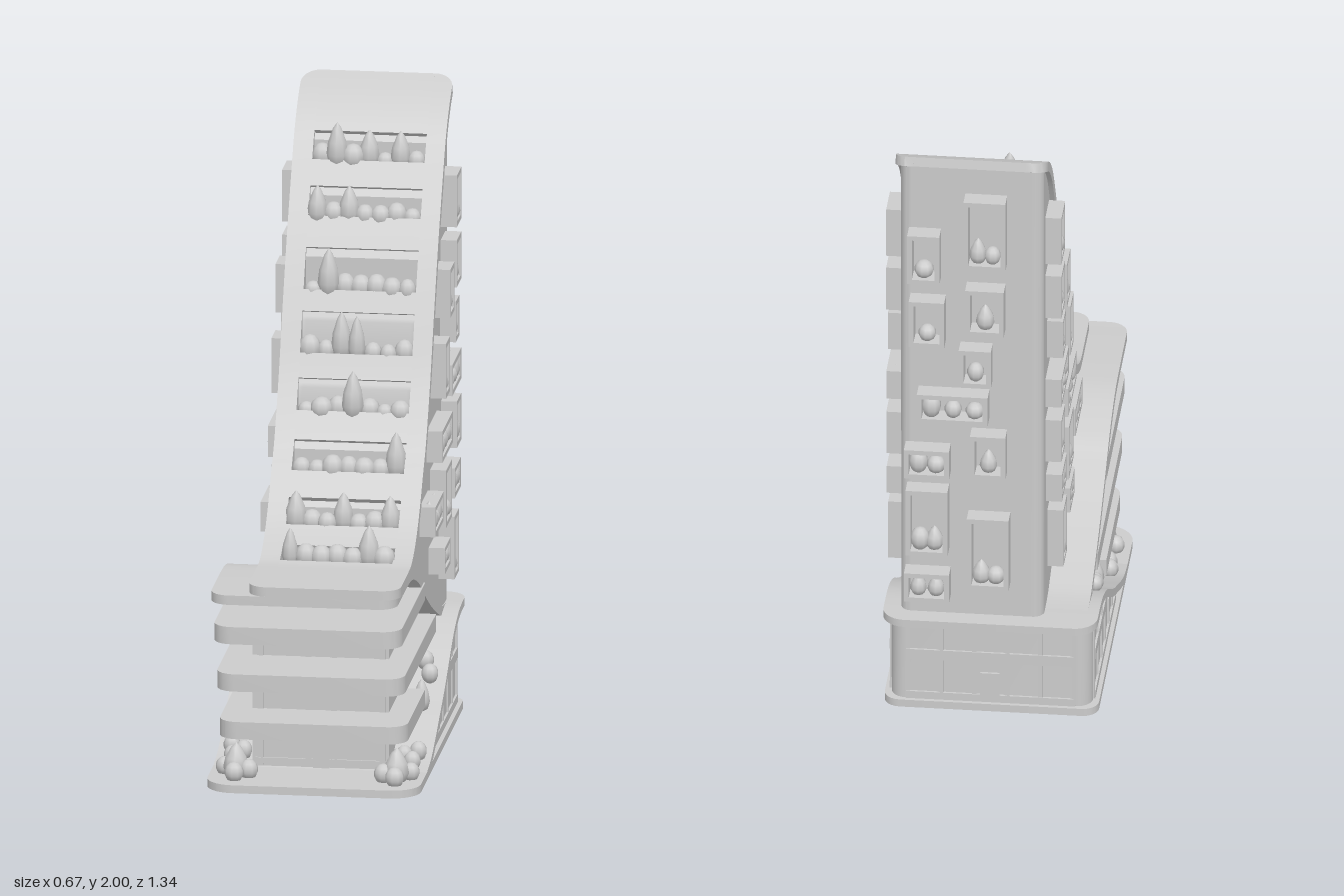
import * as THREE from 'three';
import { toCreasedNormals } from 'three/addons/utils/BufferGeometryUtils.js';

const grey = new THREE.MeshStandardMaterial({ color: 0xcccccc });
const CX = 0.055; // centre line of the tower
const HALF = 0.222; // half width of the tower

function add(parent, geo, name) {
  const m = new THREE.Mesh(geo, grey);
  m.name = name;
  parent.add(m);
  return m;
}
function box(parent, name, w, h, d, x, y, z) {
  add(parent, new THREE.BoxGeometry(w, h, d), name).position.set(x, y, z);
}

// Smooth height function y(z) through a few points, front to back
function profile(points) {
  const p = new THREE.SplineCurve(points.map(([z, y]) => new THREE.Vector2(z, y))).getPoints(200);
  return z => {
    if (z >= p[0].x) return p[0].y;
    for (let i = 1; i < p.length; i++) if (z >= p[i].x) {
      const k = (z - p[i].x) / (p[i - 1].x - p[i].x || 1);
      return p[i].y + k * (p[i - 1].y - p[i].y);
    }
    return p[p.length - 1].y;
  };
}
const slope = profile([[0.67, 0.7], [0.45, 0.7], [0.365, 0.706], [0.29, 0.735], [0.22, 0.782], [0.15, 0.85],
  [0.09, 0.92], [0.02, 1.0], [-0.08, 1.17], [-0.17, 1.36], [-0.26, 1.54], [-0.36, 1.71], [-0.46, 1.86], [-0.56, 1.95], [-0.66, 2.0]]);
const fallRamp = profile([[0.67, 0.67], [0.4, 0.67], [0.25, 0.657], [0.1, 0.605], [0, 0.55], [-0.2, 0.45], [-0.4, 0.37], [-0.5, 0.347], [-0.66, 0.345]]);
const riseRamp = profile([[0.3, 0.025], [0.2, 0.043], [0.1, 0.08], [0, 0.125], [-0.1, 0.17], [-0.2, 0.225], [-0.3, 0.282], [-0.4, 0.323], [-0.5, 0.343], [-0.66, 0.345]]);

// How far a plan corner of radius r cuts in, at distance d from the end
function inset(d, r) {
  const k = r - Math.max(0, d);
  return k > 0 ? r - Math.sqrt(r * r - k * k) : 0;
}

// Plate of even thickness following f(z); r rounds its plan corners: [x0 front, x1 front, x0 back, x1 back]
function strip(f, zA, zB, x0, x1, t, r = [0, 0, 0, 0]) {
  const zs = [], n = Math.max(2, Math.ceil((zA - zB) * 60)), R = Math.max(...r);
  for (let i = 0; i <= n; i++) zs.push(zA + (zB - zA) * i / n);
  if (R) for (let k = 1; k <= 7; k++) {
    const d = R * (1 - Math.cos(k / 7 * Math.PI / 2));
    zs.push(zA - d, zB + d);
  }
  zs.sort((a, b) => b - a);
  const pos = [], idx = [];
  zs.forEach((z, i) => {
    const e = 0.004, s = (f(z + e) - f(z - e)) / (2 * e), l = Math.hypot(1, s);
    const a = x0 + Math.max(inset(zA - z, r[0]), inset(z - zB, r[2]));
    const b = x1 - Math.max(inset(zA - z, r[1]), inset(z - zB, r[3]));
    const y = f(z), yb = y - t / l, zb = z + t * s / l;
    pos.push(a, y, z, b, y, z, b, yb, zb, a, yb, zb);
    if (i) for (let j = 0; j < 4; j++) {
      const p = (i - 1) * 4, q = i * 4, k = (j + 1) % 4;
      idx.push(p + j, p + k, q + k, p + j, q + k, q + j);
    }
  });
  const e = (zs.length - 1) * 4;
  idx.push(0, 3, 2, 0, 2, 1, e, e + 1, e + 2, e, e + 2, e + 3);
  const g = new THREE.BufferGeometry();
  g.setAttribute('position', new THREE.Float32BufferAttribute(pos, 3));
  g.setIndex(idx);
  return toCreasedNormals(g, 0.5);
}

// Side outline in (z, y) extruded across x, with rounded vertical back corners
function solid(pts, x0, x1, zBack, r0, r1) {
  const g = new THREE.ExtrudeGeometry(new THREE.Shape(pts.map(p => new THREE.Vector2(p[0], p[1]))), { depth: 1, steps: 13, bevelEnabled: false });
  g.rotateY(-Math.PI / 2);
  const p = g.attributes.position;
  for (let i = 0; i < p.count; i++) {
    const step = Math.round((p.getX(i) + 1) * 13), first = step < 7;
    const k = first ? step : 13 - step, r = first ? r0 : r1, a = k / 6 * Math.PI / 2;
    const d = r ? r * (1 - Math.cos(a)) : k * (x1 - x0) / 26;
    p.setX(i, first ? x0 + d : x1 - d);
    if (p.getZ(i) < zBack + 0.001) p.setZ(i, zBack + r * (1 - Math.sin(a)));
  }
  return toCreasedNormals(g, 0.5);
}
function along(f, a, b, dy, n = 24) {
  return Array.from({ length: n + 1 }, (_, i) => [a + (b - a) * i / n, f(a + (b - a) * i / n) + dy]);
}

let seed = 7;
const rnd = () => (seed = (seed * 16807) % 2147483647) / 2147483647;
const ball = new THREE.SphereGeometry(1, 9, 7);
const tall = new THREE.LatheGeometry([[0, -1], [0.7, -0.75], [1, -0.3], [0.85, 0.2], [0.4, 0.75], [0, 1]].map(p => new THREE.Vector2(...p)), 9);
function plant(parent, x, y, z, r, h) {
  const m = add(parent, h > 1.4 * r ? tall : ball, 'plant');
  m.scale.set(r, h, r);
  m.position.set(x, y + h * 0.85, z);
}

// Projecting window box with an open front and plants on its sill, facing +z
function windowBox(w, h, d) {
  const g = new THREE.Group(), b = 0.015;
  g.name = 'windowBox';
  const rect = (C, x, y) => new C([[-x, -y], [x, -y], [x, y], [-x, y]].map(p => new THREE.Vector2(...p)));
  const s = rect(THREE.Shape, w / 2, h / 2);
  s.holes.push(rect(THREE.Path, w / 2 - b, h / 2 - b));
  add(g, new THREE.ExtrudeGeometry(s, { depth: d, bevelEnabled: false }), 'windowFrame');
  const n = w > 0.18 ? 3 : w > 0.12 ? 2 : 1;
  for (let i = 0; i < n; i++)
    plant(g, (n === 1 ? 0 : (i / (n - 1) - 0.5) * (w - 0.085)), -h / 2 + b, d * 0.5, 0.026 + rnd() * 0.005, 0.028 + rnd() * 0.02);
  return g;
}

export function createModel() {
  const model = new THREE.Group();

  // Base plate, ramps and floor slabs
  add(model, strip(() => 0.025, 0.53, -0.6, -0.335, 0.33, 0.025, [0.09, 0.09, 0.05, 0.05]), 'basePlate');
  add(model, strip(riseRamp, 0.3, -0.66, -0.335, 0.33, 0.025, [0, 0, 0.07, 0.07]), 'risingRamp');
  add(model, strip(fallRamp, 0.67, -0.6, -0.3, 0.28, 0.03, [0.06, 0.06, 0, 0]), 'fallingRamp');
  [[0.21, 0.465, 0], [0.38, 0.53, -0.26], [0.55, 0.6, 0]].forEach(([y, a, b]) =>
    add(model, strip(() => y, a, b, -0.3, 0.285, 0.055, [0.06, 0.06, 0, 0]), 'floorSlab'));

  // Core behind the slabs, with rails, mullions and a door
  add(model, solid([[0.29, 0.02], ...along(fallRamp, 0.29, -0.38, -0.02), ...along(riseRamp, -0.38, 0.29, -0.015)], -0.215, 0.21, -9, 0, 0), 'core');
  for (const y of [0.045, 0.135, 0.28, 0.45, 0.62]) box(model, 'coreRail', 0.41, 0.018, 0.012, 0, y, 0.29);
  for (const x of [-0.19, -0.04, 0.04, 0.19]) box(model, 'coreMullion', 0.018, 0.6, 0.01, x, 0.33, 0.29);
  box(model, 'frontDoor', 0.05, 0.09, 0.016, 0, 0.07, 0.288);

  // Podium under the rising ramp, with window bands
  add(model, solid([[-0.585, 0.02], [0.18, 0.02], ...along(riseRamp, 0.18, -0.585, -0.015)], -0.315, 0.31, -0.585, 0.05, 0.05), 'podium');
  [[0.04, 0.025, 0.08], [0.185, 0.035, -0.2], [0.305, 0.03, -0.42]].forEach(([y, h, zf]) => {
    for (const x of [-0.315, 0.31]) box(model, 'podiumBand', 0.014, h, zf + 0.535, x, y, (zf - 0.535) / 2);
    box(model, 'podiumBand', 0.525, h, 0.014, -0.0025, y, -0.585);
  });
  for (let z = -0.53; z < 0; z += 0.105) {
    const top = riseRamp(z) - 0.035;
    for (const x of [-0.315, 0.31]) box(model, 'podiumMullion', 0.01, top - 0.03, 0.014, x, (top + 0.03) / 2, z);
  }
  for (let i = 0; i < 6; i++) box(model, 'podiumMullion', 0.014, 0.28, 0.01, -0.26 + i * 0.103, 0.17, -0.585);
  box(model, 'backDoor', 0.06, 0.1, 0.016, 0, 0.08, -0.585);

  // Tower: plain cheeks either side of a stepped middle
  const holes = [[0.365, 0.29], [0.22, 0.15], [0.09, 0.02], [-0.03, -0.08], [-0.115, -0.17], [-0.2, -0.26], [-0.31, -0.36], [-0.405, -0.46]];
  const under = along(fallRamp, -0.6, 0.42, -0.01);
  const cheek = [...under, ...along(slope, 0.42, -0.6, -0.03, 50)];
  const h0 = -0.12, h1 = 0.23;
  add(model, solid(cheek, CX - HALF, h0, -0.6, 0.034, 0), 'towerSide');
  add(model, solid(cheek, h1, CX + HALF, -0.6, 0, 0.034), 'towerSide');
  const steps = [];
  let from = 0.42;
  holes.forEach(([a, b]) => {
    const floor = slope(a) - 0.032;
    steps.push(...along(slope, from, a, -0.03, 5), [a - 0.001, floor], [b, floor]);
    from = b;
  });
  steps.push(...along(slope, from, -0.6, -0.03, 10));
  add(model, solid([...under, ...steps], h0, h1, -0.6, 0, 0), 'towerMiddle');

  // Sweeping roof: two side strips joined by bars between the planted openings
  add(model, strip(slope, 0.67, -0.66, -0.182, h0, 0.03, [0.058, 0, 0.058, 0]), 'roofEdge');
  add(model, strip(slope, 0.67, -0.66, h1, 0.29, 0.03, [0, 0.058, 0, 0.058]), 'roofEdge');
  from = 0.67;
  [...holes, [-0.66, 0]].forEach(([a, b]) => {
    add(model, strip(slope, from, a, h0, h1, 0.03), 'roofBar');
    from = b;
  });
  holes.forEach(([a, b]) => {
    for (let i = 0; i < 7; i++) {
      const r = 0.026 + rnd() * 0.01, big = rnd() > 0.78;
      plant(model, h0 + 0.027 + i * 0.049, slope(a) - 0.03, (a + b) / 2 + (rnd() - 0.5) * 0.02, r, big ? 0.062 + rnd() * 0.025 : r * (1 + rnd() * 0.3));
    }
  });

  // Window boxes on both sides: z, y, width, height
  [[-0.485, 1.655, 0.11, 0.165], [-0.485, 1.455, 0.11, 0.15], [-0.325, 1.4, 0.1, 0.155], [-0.45, 1.275, 0.08, 0.13],
    [-0.222, 1.18, 0.095, 0.175], [-0.43, 1.11, 0.215, 0.098], [-0.212, 0.96, 0.245, 0.1], [-0.485, 0.94, 0.105, 0.148],
    [-0.02, 0.765, 0.2, 0.095], [-0.248, 0.77, 0.14, 0.185], [-0.455, 0.765, 0.14, 0.095], [-0.212, 0.58, 0.135, 0.085],
    [-0.43, 0.56, 0.1, 0.2]].forEach(([z, y, w, h]) => {
    for (const s of [-1, 1]) {
      const b = windowBox(w, h, 0.05);
      b.position.set(CX + s * HALF, y, z);
      b.rotation.y = s * Math.PI / 2;
      model.add(b);
    }
  });
  // Window boxes on the back: x, y, width, height
  [[0.2, 1.63, 0.1, 0.17], [0.01, 1.725, 0.13, 0.24], [0.19, 1.4, 0.11, 0.16], [0.01, 1.45, 0.12, 0.16], [0.04, 1.25, 0.1, 0.13],
    [0.11, 1.1, 0.22, 0.1], [0.19, 0.9, 0.14, 0.1], [0, 0.935, 0.11, 0.15], [0.19, 0.69, 0.13, 0.23], [0, 0.59, 0.13, 0.25],
    [0.19, 0.46, 0.14, 0.1]].forEach(([x, y, w, h]) => {
    const b = windowBox(w, h, 0.058);
    b.position.set(x, y, -0.6);
    b.rotation.y = Math.PI;
    model.add(b);
  });

  // Shrubs on the base and along the rising ramp
  for (const s of [-1, 1]) {
    [[0.25, 0.46, 0.03], [0.21, 0.42, 0.03], [0.25, 0.41, 0.04], [0.29, 0.38, 0.028]].forEach(([x, z, r], i) =>
      plant(model, s * x, 0.02, z, r, i === 2 ? 0.06 : r * 1.1));
    [[0.28, 0.27], [0.25, 0.23], [0.29, 0.2], [0.27, -0.03], [0.28, -0.15], [0.26, -0.2]].forEach(([x, z], i) =>
      plant(model, s * x, riseRamp(z) - 0.005, z, 0.027, i === 3 ? 0.055 : 0.032));
  }
  plant(model, -0.3, riseRamp(-0.33), -0.33, 0.025, 0.028);
  return model;
}
